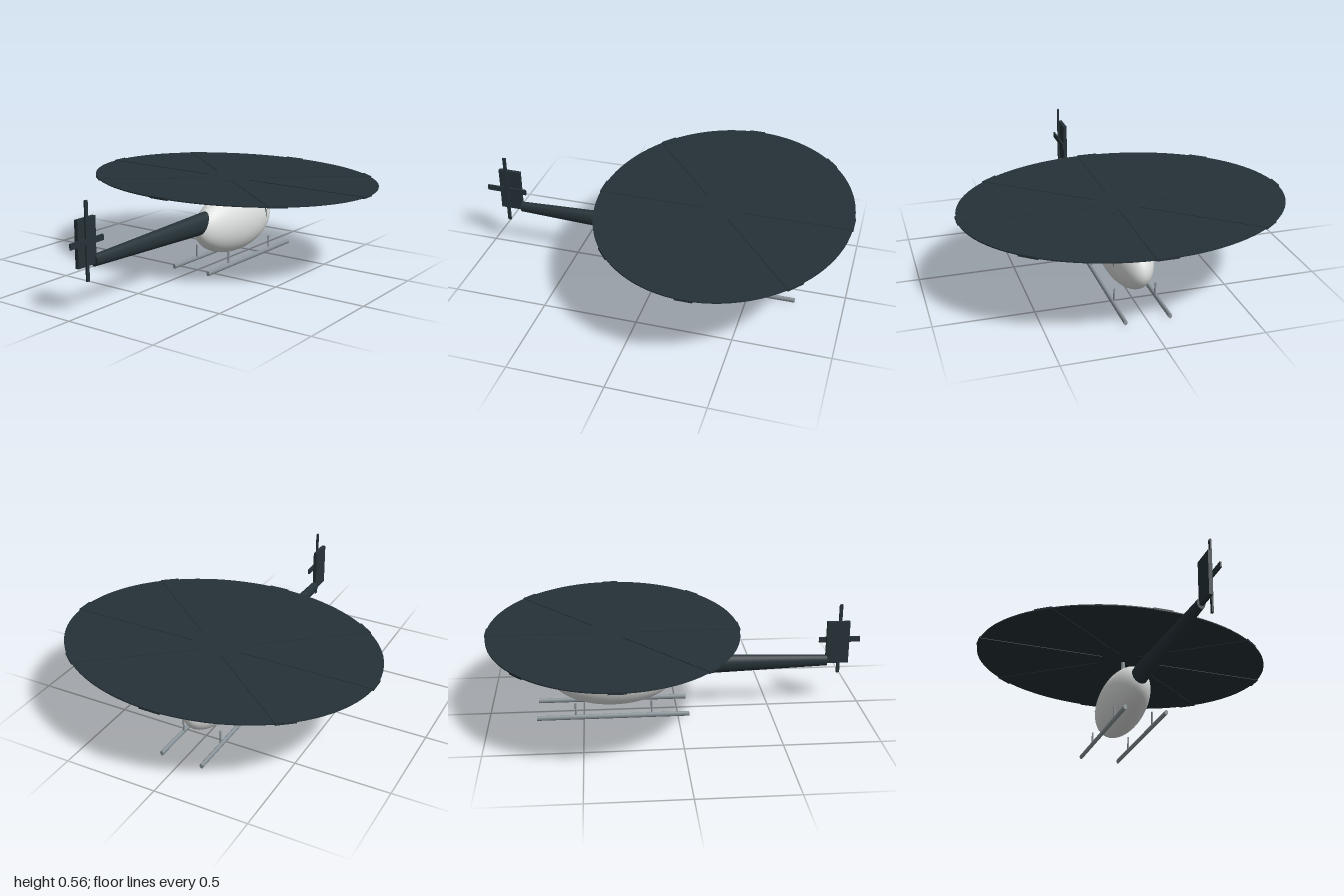
import * as THREE from 'three';

const mat = (name, color) => Object.assign(new THREE.MeshStandardMaterial({ color }), { name });

export function createModel() {
  const root = new THREE.Group();
  root.name = 'helicopter';
  const shell = mat('pale grey shell', 0xdfe2e0);
  const dark = mat('dark slate', 0x263238);
  const metal = mat('grey metal', 0x8a949a);
  const glass = mat('dark glass', 0x263642);
  glass.side = THREE.DoubleSide;

  const add = (name, geometry, material, x = 0, y = 0, z = 0, parent = root) => {
    const mesh = new THREE.Mesh(geometry, material);
    mesh.name = name;
    mesh.position.set(x, y, z);
    parent.add(mesh);
    return mesh;
  };

  // Egg-shaped cabin, nose towards -z
  const C = { y: 0.21, z: -0.34, rx: 0.121, ry: 0.173, rz: 0.333 };
  const cabinGeo = new THREE.SphereGeometry(1, 48, 32).rotateX(Math.PI / 2).scale(C.rx, C.ry, C.rz);
  add('cabin', cabinGeo, shell, 0, C.y, C.z);

  // Window band: wide over the roof, narrowing to a point on each flank
  const band = new THREE.PlaneGeometry(2, 2, 40, 4);
  const p = band.attributes.position;
  for (let i = 0; i < p.count; i++) {
    const u = p.getX(i), v = p.getY(i);
    const phi = u * 1.64;
    const drop = 1 - Math.cos(phi);
    const z = -0.514 - 0.008 * drop + v * 0.026 * Math.max(0, 1 - drop / 1.07);
    const s = 1.025 * Math.sqrt(1 - ((z - C.z) / C.rz) ** 2);
    p.setXYZ(i, C.rx * s * Math.sin(phi), C.y + C.ry * s * Math.cos(phi), z);
  }
  band.computeVertexNormals();
  add('windowBand', band, glass);

  // Tapered oval tail boom
  const boom = new THREE.CylinderGeometry(0.03, 0.063, 0.92, 32).rotateX(Math.PI / 2).scale(0.7, 1, 1);
  add('tailBoom', boom, dark, 0, 0.25, 0.358);

  // Tail fin and tail rotor
  add('tailFin', new THREE.BoxGeometry(0.02, 0.234, 0.123), dark, 0, 0.353, 0.873);
  add('tailRotorBladeTall', new THREE.BoxGeometry(0.009, 0.39, 0.018), dark, 0.0225, 0.363, 0.888);
  add('tailRotorBladeWide', new THREE.BoxGeometry(0.009, 0.03, 0.224), dark, 0.0225, 0.36, 0.888);
  add('tailRotorHub', new THREE.CylinderGeometry(0.008, 0.008, 0.02, 16).rotateZ(Math.PI / 2), dark, 0.014, 0.361, 0.888);

  // Main rotor: a thin disc with four full-span blades, stretched sideways
  const rotor = new THREE.Group();
  rotor.name = 'mainRotor';
  rotor.position.set(0, 0.46, -0.333);
  rotor.scale.x = 1.25;
  root.add(rotor);
  add('rotorDisc', new THREE.CylinderGeometry(0.664, 0.664, 0.006, 96), dark, 0, 0, 0, rotor);
  for (let i = 0; i < 4; i++) {
    const blade = add('rotorBlade', new THREE.BoxGeometry(1.333, 0.012, 0.087), dark, 0, 0, 0, rotor);
    blade.rotation.y = i * Math.PI / 4;
  }
  add('rotorMast', new THREE.CylinderGeometry(0.012, 0.012, 0.1, 20), metal, 0, 0.405, -0.327);

  // Landing skids with two posts each
  for (const side of [-1, 1]) {
    const skid = new THREE.CylinderGeometry(1, 1, 0.808, 16).rotateX(Math.PI / 2).scale(0.0095, 0.0135, 1);
    add('skid', skid, metal, side * 0.113, 0.0135, -0.344);
    for (const z of [-0.14, -0.543]) {
      add('skidPost', new THREE.CylinderGeometry(0.005, 0.005, 0.082, 12), metal, side * 0.107, 0.051, z);
    }
  }
  return root;
}
